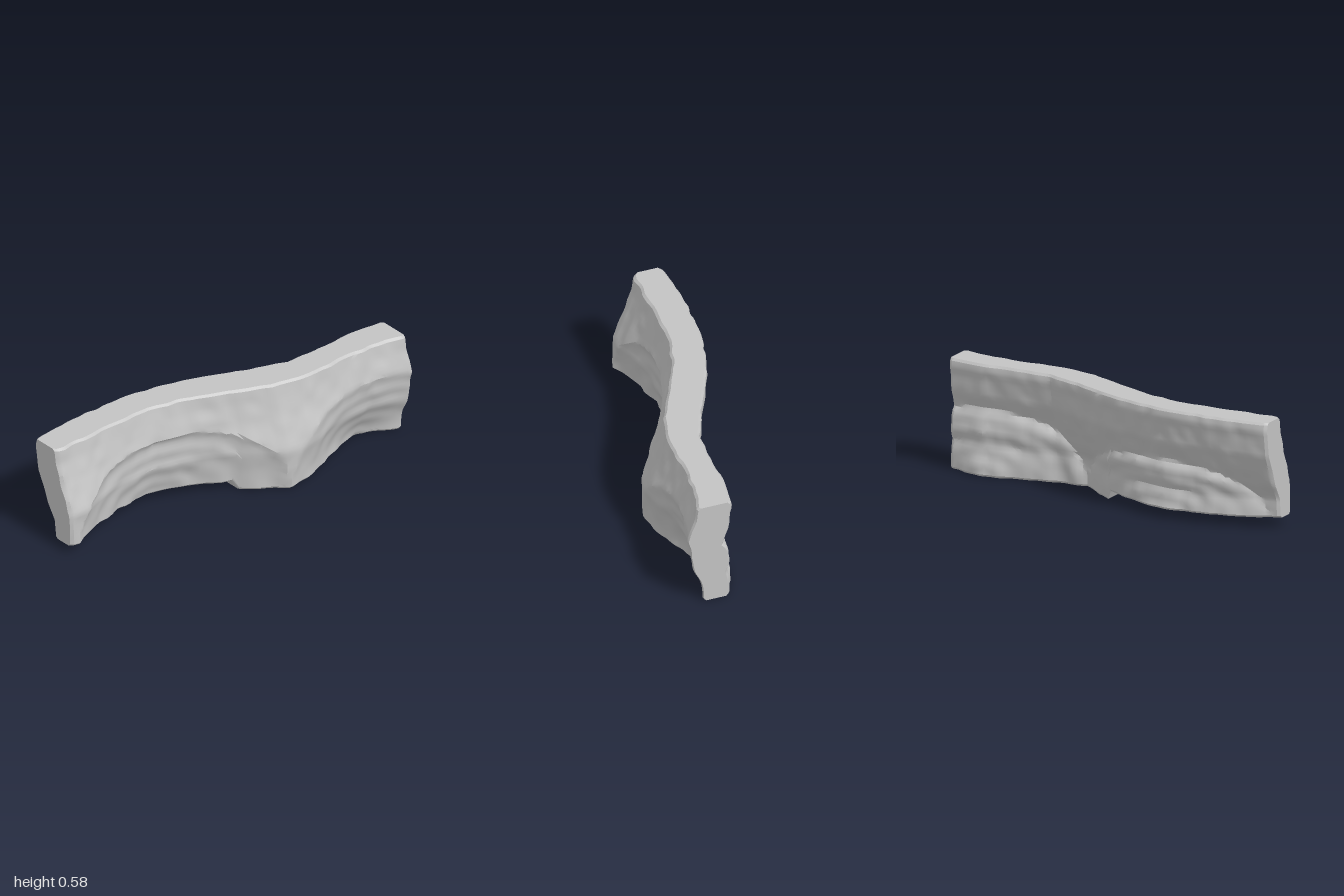
import * as THREE from 'three';
import { toCreasedNormals } from 'three/addons/utils/BufferGeometryUtils.js';

const TOP = 0.58;

// Plan of the crest: z, outer (-x) edge, inner (+x) edge
const PLAN = [
  [-1, 0.085, 0.265], [-0.8, 0.055, 0.22], [-0.6, 0.045, 0.2], [-0.4, 0.03, 0.195],
  [-0.2, -0.06, 0.145], [0, -0.16, 0.035], [0.2, -0.24, -0.06], [0.4, -0.29, -0.12],
  [0.6, -0.31, -0.14], [0.8, -0.32, -0.145], [0.95, -0.317, -0.15], [1, -0.312, -0.168],
];

// Upright section of the wall: y, outer offset, inner offset
const SECTION = [
  [0, 0.15, 0.12], [0.15, 0.14, 0.12], [0.23, 0.09, 0.12], [0.3, 0.06, 0.093],
  [0.4, 0.018, 0.052], [0.5, 0.004, 0.02], [0.54, -0.008, 0.01], [TOP, 0, 0],
];

// Hollows scooped into the lower inner side, bulging out behind:
// centre z, half width, then height, depth and falloff for each side
const HOLLOWS = [
  { z: 0.365, w: 0.575, inner: [0.4, 0.14, 0.6], outer: [0.29, 0.145, 0.6] },
  { z: -0.79, w: 0.55, inner: [0.4, 0.215, 0.9], outer: [0.33, 0.19, 0.65] },
];

// Straight-line reading of a table at t
function read(table, t, column) {
  let i = 0;
  while (i < table.length - 2 && t > table[i + 1][0]) i++;
  const [a, b] = [table[i], table[i + 1]];
  return THREE.MathUtils.lerp(a[column], b[column], (t - a[0]) / (b[0] - a[0]));
}

// Repeatable random value in -1..1, and a smooth version of it
function hash(a, b) {
  const s = Math.sin(a * 127.1 + b * 311.7) * 43758.5453;
  return (s - Math.floor(s)) * 2 - 1;
}

function rough(u, v) {
  const i = Math.floor(u), j = Math.floor(v), { lerp } = THREE.MathUtils;
  return lerp(
    lerp(hash(i, j), hash(i + 1, j), u - i),
    lerp(hash(i, j + 1), hash(i + 1, j + 1), u - i), v - j);
}

// Sideways position of the wall surface
function surfaceX(z, y, inner) {
  const column = inner ? 2 : 1;
  let x = read(PLAN, z, column) + read(SECTION, y, column);
  for (const o of HOLLOWS) {
    const [height, depth, falloff] = inner ? o.inner : o.outer;
    const u = Math.abs(z - o.z) / o.w, v = y / height;
    const r = Math.pow(u ** 2.5 + v ** 2.5, 0.4);
    if (r >= 1) continue;
    x -= depth * Math.pow(1 - r, falloff);
    x += 0.003 * Math.sin(r * 26) * Math.min(1, (1 - r) * 5);
  }
  // Upright streaks plus small chips
  const seed = inner ? 40 : 90;
  return x + 0.005 * rough(z * 17 + seed, y * 3) + 0.005 * rough(z * 20 + seed, y * 16);
}

function wallGeometry() {
  const zs = [-1, -0.985];
  for (let k = -39; k <= 39; k++) zs.push(k * 0.025);
  zs.push(0.985, 1);

  // Row heights as fractions, with narrow bevel rows at both rims
  const rows = [0];
  for (let k = 0; k <= 27; k++) rows.push(0.02 + (k / 27) * 0.96);
  rows.push(1);
  const n = rows.length, ring = 2 * n;
  const pos = [], index = [];

  zs.forEach((z, i) => {
    const base = 0.05 * THREE.MathUtils.smoothstep(z, -0.026, 0.001);
    const atEnd = i === 0 || i === zs.length - 1;
    for (let k = 0; k < ring; k++) {
      const inner = k < n;
      const j = inner ? k : ring - 1 - k;
      const y = base + rows[j] * (TOP - base);
      let inset = 0;
      if (j === 0 || j === n - 1) inset += 0.01;
      if (atEnd) inset += 0.01;
      pos.push(surfaceX(z, y, inner) + (inner ? -inset : inset), y, z);
    }
  });

  // Skin around the cross-sections
  for (let i = 0; i < zs.length - 1; i++) {
    for (let k = 0; k < ring; k++) {
      const a = i * ring + k, b = i * ring + (k + 1) % ring;
      const c = a + ring, d = b + ring;
      // Diagonals follow the slope of the hollow rims
      const rising = HOLLOWS.some((o) => Math.abs(zs[i] - o.z) < o.w && zs[i] < o.z);
      if (rising === k < n) index.push(a, b, d, a, d, c);
      else index.push(a, b, c, b, d, c);
    }
  }

  // End caps
  const last = (zs.length - 1) * ring;
  for (let j = 0; j < n - 1; j++) {
    const f = j, f1 = j + 1, b = ring - 1 - j, b1 = b - 1;
    index.push(last + f, last + f1, last + b, last + f1, last + b1, last + b);
    index.push(f, b, f1, f1, b, b1);
  }

  const geometry = new THREE.BufferGeometry();
  geometry.setAttribute('position', new THREE.Float32BufferAttribute(pos, 3));
  geometry.setIndex(index);
  return toCreasedNormals(geometry, 0.5);
}

export function createModel() {
  const group = new THREE.Group();
  group.name = 'rockWall';
  const stone = new THREE.MeshStandardMaterial({ color: 0xc3c3c3 });
  stone.name = 'stone grey';
  const wall = new THREE.Mesh(wallGeometry(), stone);
  wall.name = 'curvedRockFace';
  group.add(wall);
  return group;
}
